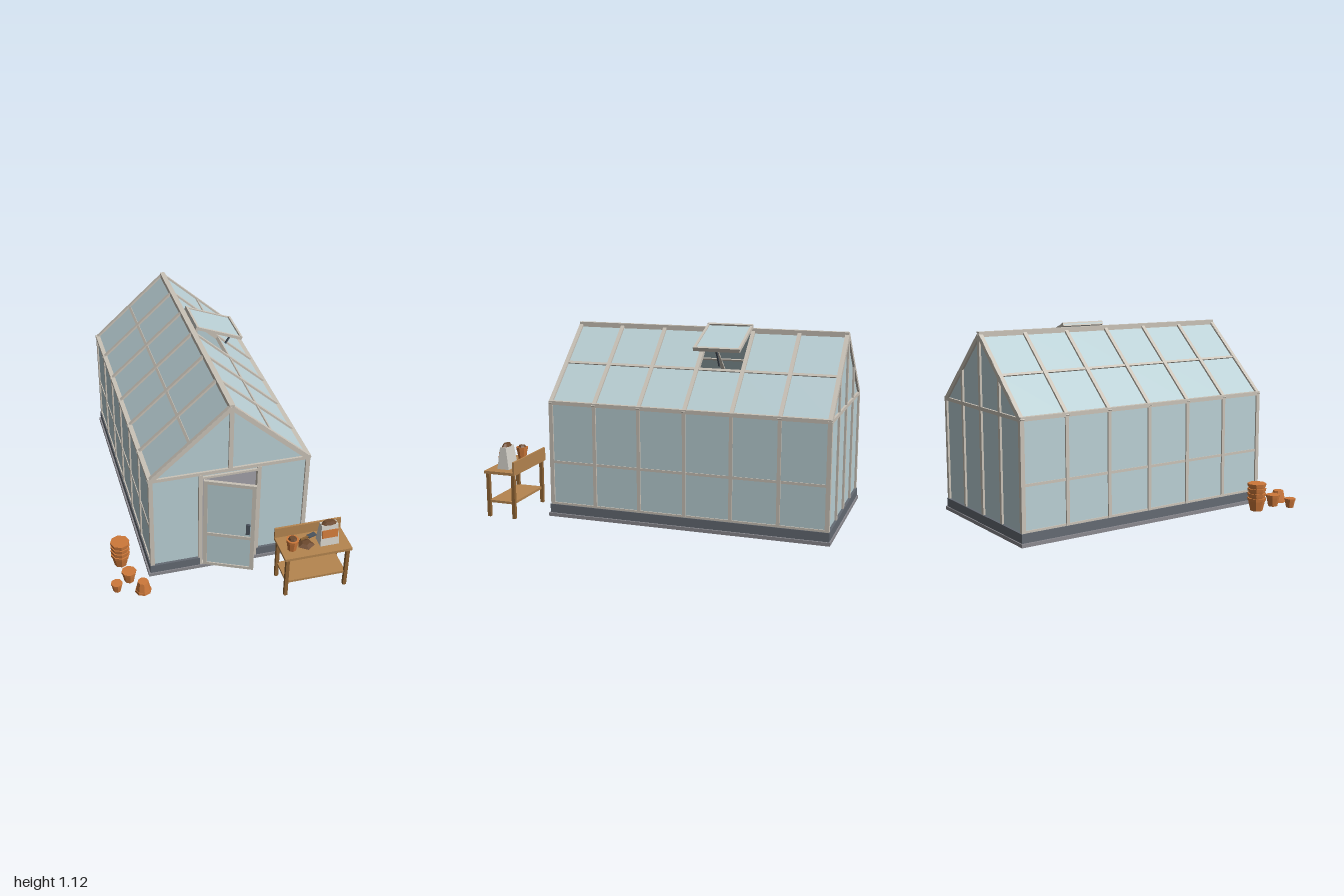
import * as THREE from 'three';

const mat = (name, color, extra = {}) => new THREE.MeshStandardMaterial({ name, color, ...extra });

export function createModel() {
  const frame = mat('pale frame', 0xcac3b8), glass = mat('glass', 0xbad0d5, { side: THREE.DoubleSide });
  const curbMat = mat('slate curb', 0x646a73), slabMat = mat('grey slab', 0x8b8a90);
  const wood = mat('bench wood', 0xb5854f), darkWood = mat('leg wood', 0x8f6434);
  const clay = mat('terracotta', 0xcd783a, { flatShading: true }), sack = mat('sack', 0xd3d0c8, { flatShading: true });
  const soil = mat('soil', 0x6e4a2e, { flatShading: true }), metal = mat('dark metal', 0x4b535d);

  const root = new THREE.Group();
  root.name = 'greenhouse';
  const group = (parent, name, x = 0, y = 0, z = 0) => {
    const g = new THREE.Group();
    g.name = name;
    g.position.set(x, y, z);
    parent.add(g);
    return g;
  };
  const add = (parent, name, geo, m, x = 0, y = 0, z = 0) => {
    const mesh = new THREE.Mesh(geo, m);
    mesh.name = name;
    mesh.position.set(x, y, z);
    parent.add(mesh);
    return mesh;
  };
  // box given by its limits
  const box = (parent, name, m, x0, x1, y0, y1, z0, z1) =>
    add(parent, name, new THREE.BoxGeometry(x1 - x0, y1 - y0, z1 - z0), m, (x0 + x1) / 2, (y0 + y1) / 2, (z0 + z1) / 2);
  // bar between two points in an upright plane
  const bar = (parent, name, m, ax, ay, bx, by, z, w, d) => {
    const b = add(parent, name, new THREE.BoxGeometry(Math.hypot(bx - ax, by - ay), w, d), m, (ax + bx) / 2, (ay + by) / 2, z);
    b.rotation.z = Math.atan2(by - ay, bx - ax);
    return b;
  };

  // house, local to its own centre
  const W = 0.447, Z = 0.805, EAVE = 0.67, RIDGE = 1.07, BAY = Z / 3;
  const house = group(root, 'house', 0.0475, 0, -0.17);
  box(house, 'slab', slabMat, -0.472, 0.472, 0, 0.02, -0.826, 0.826);
  for (const s of [-1, 1]) {
    box(house, 'sideCurb', curbMat, s * 0.447 - 0.015, s * 0.447 + 0.015, 0.02, 0.071, -0.82, 0.82);
  }
  box(house, 'backCurb', curbMat, -0.462, 0.462, 0.02, 0.071, -0.82, -0.79);
  box(house, 'frontCurbRight', curbMat, -0.462, -0.17, 0.02, 0.071, 0.79, 0.82);
  box(house, 'frontCurbLeft', curbMat, 0.168, 0.462, 0.02, 0.071, 0.79, 0.82);

  // side walls
  for (const s of [-1, 1]) {
    const wall = group(house, s > 0 ? 'leftWall' : 'rightWall', s * W, 0, 0);
    box(wall, 'wallGlass', glass, -0.003, 0.003, 0.07, EAVE, -Z, Z);
    for (let i = -3; i <= 3; i++) {
      const h = Math.abs(i) === 3 ? 0.012 : 0.01;
      box(wall, 'post', frame, -0.012, 0.012, 0.07, EAVE, i * BAY - h, i * BAY + h);
    }
    box(wall, 'sill', frame, -0.01, 0.01, 0.07, 0.083, -Z, Z);
    box(wall, 'midRail', frame, -0.008, 0.008, 0.317, 0.332, -Z, Z);
    box(wall, 'eaveBeam', frame, -0.015, 0.015, 0.662, 0.684, -0.815, 0.815);
  }

  // roof slopes: local x runs down from the ridge
  const slope = Math.atan2(RIDGE - EAVE, W), L = Math.hypot(RIDGE - EAVE, W);
  for (const s of [-1, 1]) {
    const roof = group(house, s > 0 ? 'leftRoof' : 'rightRoof', 0, RIDGE, 0);
    roof.rotation.set(0, s > 0 ? 0 : Math.PI, -slope);
    for (let i = -3; i < 3; i++) for (let j = 0; j < 2; j++) {
      if (s > 0 && i === -1 && j === 0) continue; // open vent bay
      box(roof, 'roofPane', glass, j * L / 2, (j + 1) * L / 2, -0.003, 0.003, i * BAY, (i + 1) * BAY);
    }
    for (let i = -3; i <= 3; i++) box(roof, 'rafter', frame, 0, L + 0.012, -0.012, 0.014, i * BAY - 0.011, i * BAY + 0.011);
    box(roof, 'purlin', frame, L / 2 - 0.008, L / 2 + 0.008, -0.01, 0.01, -Z, Z);
  }
  box(house, 'ridgeBeam', frame, -0.015, 0.015, RIDGE - 0.012, RIDGE + 0.019, -0.815, 0.815);

  // gable ends
  const gable = (door) => {
    const s = new THREE.Shape([[-W, 0.05], [W, 0.05], [W, EAVE], [0, RIDGE], [-W, EAVE]].map(p => new THREE.Vector2(...p)));
    if (door) s.holes.push(new THREE.Path([[-0.17, 0.051], [-0.17, 0.64], [0.165, 0.64], [0.165, 0.051]].map(p => new THREE.Vector2(...p))));
    return new THREE.ShapeGeometry(s);
  };
  for (const s of [-1, 1]) {
    const end = group(house, s > 0 ? 'frontGable' : 'backGable', 0, 0, s * Z);
    add(end, 'gableGlass', gable(s > 0), glass);
    box(end, 'tieBeam', frame, -W, W, 0.66, 0.68, -0.012, 0.012);
    for (const k of [-1, 1]) {
      box(end, 'cornerPost', frame, k * W - 0.012, k * W + 0.012, 0.07, EAVE, -0.012, 0.012);
      bar(end, 'gableRafter', frame, 0, RIDGE, k * W, EAVE, 0, 0.026, 0.024);
    }
    box(end, 'kingPost', frame, -0.012, 0.012, s > 0 ? EAVE : 0.07, RIDGE, -0.012, 0.012);
    if (s < 0) {
      for (const k of [-1, 1]) box(end, 'backPost', frame, k * W / 2 - 0.01, k * W / 2 + 0.01, 0.07, 0.866, -0.012, 0.012);
    }
  }
  for (const x of [-0.168, 0.166]) box(house, 'doorJamb', frame, x - 0.011, x + 0.011, 0.02, 0.662, Z - 0.014, Z + 0.014);
  box(house, 'doorHeader', frame, -0.168, 0.166, 0.634, 0.647, Z - 0.012, Z + 0.012);
  box(house, 'threshold', frame, -0.168, 0.166, 0.02, 0.028, Z - 0.014, Z + 0.014);

  // open door, hinged on its right edge
  const door = group(root, 'door', -0.105, 0, 0.652);
  door.rotation.y = -0.43;
  box(door, 'doorGlass', glass, 0.015, 0.275, 0.035, 0.62, -0.003, 0.003);
  for (const x of [0, 0.268]) box(door, 'doorStile', frame, x, x + 0.022, 0.03, 0.632, -0.009, 0.009);
  for (const [a, b] of [[0.03, 0.048], [0.25, 0.27], [0.612, 0.632]]) box(door, 'doorRail', frame, 0, 0.29, a, b, -0.009, 0.009);
  box(door, 'doorHandle', metal, 0.242, 0.264, 0.298, 0.366, 0.008, 0.022);

  // raised roof vent with its stay
  const vent = group(root, 'roofVent', 0.065, 1.104, -0.305);
  vent.rotation.z = -0.365;
  box(vent, 'ventGlass', glass, 0, 0.3, -0.003, 0.003, -0.13, 0.13);
  for (const x of [0, 0.288]) box(vent, 'ventRail', frame, x, x + 0.016, -0.01, 0.012, -0.134, 0.134);
  for (const z of [-0.128, 0.128]) box(vent, 'ventStile', frame, 0, 0.3, -0.009, 0.009, z - 0.007, z + 0.007);
  bar(root, 'ventStay', metal, 0.285, 0.9, 0.342, 0.988, -0.305, 0.009, 0.009);

  // eight-sided pot; a negative height turns it upside down
  const pot = (parent, x, y, z, r, h, sides = 8) => {
    const g = group(parent, 'pot', x, h < 0 ? y - h : y, z), H = Math.abs(h);
    if (h < 0) g.rotation.x = Math.PI;
    add(g, 'potBody', new THREE.CylinderGeometry(r * 0.9, r * 0.65, H * 0.8, sides), clay, 0, H * 0.4, 0);
    add(g, 'potRim', new THREE.CylinderGeometry(r, r * 0.96, H * 0.22, sides), clay, 0, H * 0.89, 0);
    return g;
  };

  // bench with legs and lower shelf
  const bench = (parent, name, x0, x1, z0, z1, top) => {
    const g = group(parent, name);
    box(g, 'benchTop', wood, x0, x1, top - 0.016, top, z0, z1);
    box(g, 'lowerShelf', wood, x0 + 0.02, x1 - 0.02, 0.084, 0.098, z0 + 0.018, z1 - 0.018);
    for (const x of [x0 + 0.02, x1 - 0.02]) for (const z of [z0 + 0.018, z1 - 0.018])
      box(g, 'benchLeg', darkWood, x - 0.01, x + 0.01, 0, top - 0.016, z - 0.01, z + 0.01);
    return g;
  };
  const inner = bench(root, 'innerBench', -0.38, -0.16, -0.9, 0.5, 0.28);
  for (let i = 0; i < 6; i++) pot(inner, -0.26, 0.28, 0.4 - i * 0.22, 0.04, 0.07);

  // potting table in front
  const table = bench(root, 'pottingTable', 0.262, 0.652, 0.803, 1, 0.276);
  box(table, 'tableBack', wood, 0.262, 0.652, 0.276, 0.34, 0.803, 0.815);
  pot(table, 0.325, 0.276, 0.925, 0.037, 0.072);
  add(table, 'potSoil', new THREE.CylinderGeometry(0.018, 0.027, 0.014, 7), soil, 0.325, 0.353, 0.925);
  add(table, 'soilHeap', new THREE.CylinderGeometry(0.022, 0.05, 0.012, 5), soil, 0.412, 0.282, 0.905);
  const trowel = group(table, 'trowel', 0.44, 0.288, 0.862);
  trowel.rotation.y = 0.3;
  box(trowel, 'trowelBlade', metal, 0, 0.052, -0.003, 0.003, -0.014, 0.014);
  box(trowel, 'trowelHandle', darkWood, -0.05, 0, -0.005, 0.005, -0.005, 0.005);

  // open sack of soil, narrowing upwards in depth
  const bag = group(table, 'soilSack', 0.538, 0.276, 0.908);
  const bagGeo = new THREE.BoxGeometry(0.11, 0.128, 0.074, 1, 2, 1), p = bagGeo.attributes.position;
  for (let i = 0; i < p.count; i++) {
    const t = p.getY(i) / 0.128 + 0.5;
    p.setX(i, p.getX(i) * (1 - 0.13 * t));
    p.setZ(i, p.getZ(i) * (1 - 0.5 * t));
  }
  bagGeo.computeVertexNormals();
  add(bag, 'sackBody', bagGeo, sack, 0, 0.064, 0);
  const label = box(bag, 'sackLabel', clay, -0.046, 0.046, 0.05, 0.1, 0.026, 0.03);
  label.rotation.x = -0.143;
  const heap = add(bag, 'sackSoil', new THREE.CylinderGeometry(0.028, 0.046, 0.018, 8), soil, 0, 0.137, 0);
  heap.scale.z = 0.5;

  // pots by the door: a nested stack and three loose ones
  const pots = group(root, 'groundPots');
  for (let i = 0; i < 4; i++) pot(pots, -0.56, i * 0.029, 0.505, 0.056, 0.078);
  pot(pots, -0.54, 0, 0.655, 0.043, 0.07);
  pot(pots, -0.622, 0, 0.717, 0.034, 0.055);
  pot(pots, -0.48, 0, 0.755, 0.047, -0.07);
  return root;
}
